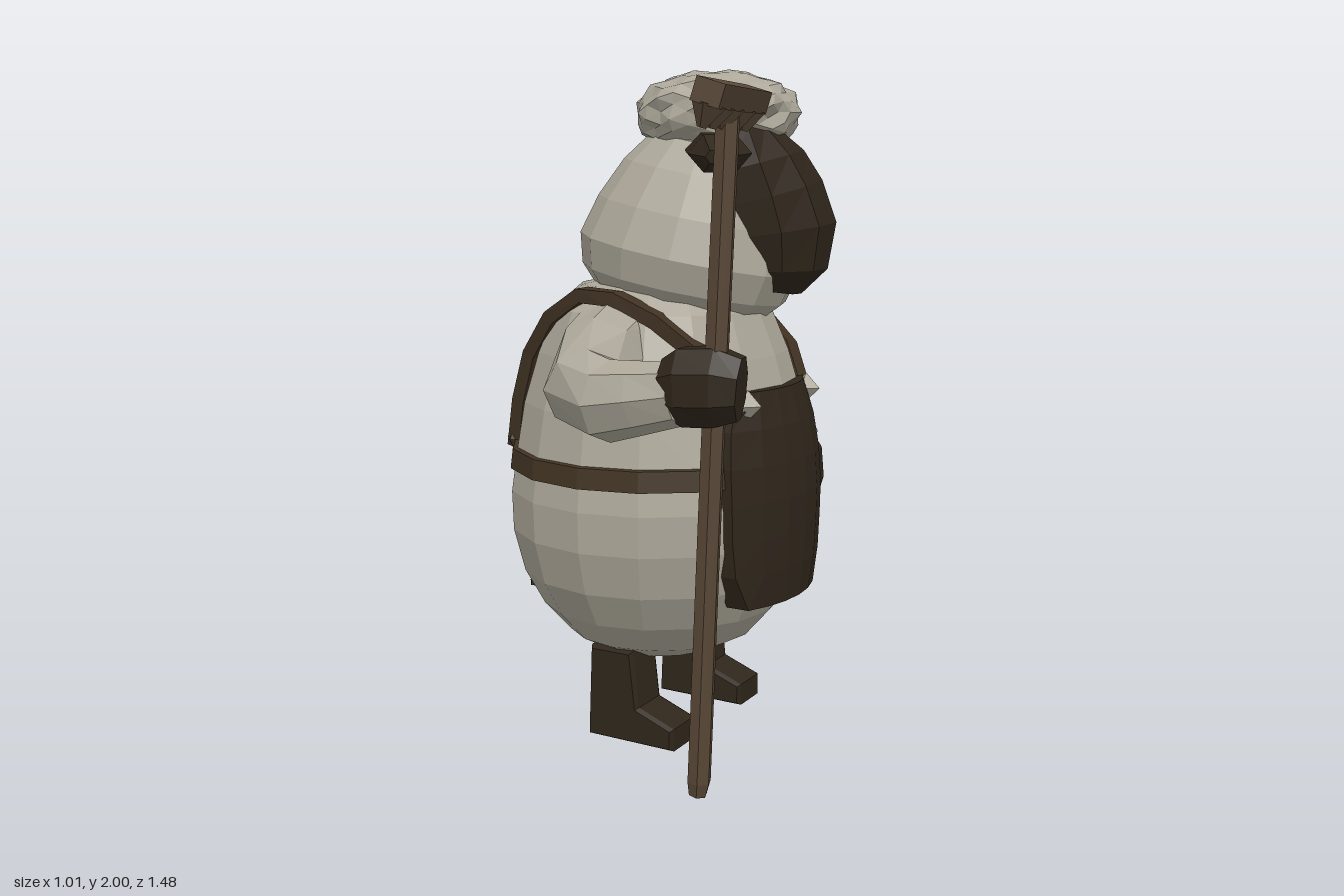
import * as THREE from 'three';

const mat = (color) => new THREE.MeshStandardMaterial({ color, flatShading: true });
const WOOL = mat(0xaca799), DARK = mat(0x2f261b), STRAP = mat(0x413323), WOOD = mat(0x584736);

function mesh(parent, name, geometry, material) {
  const m = new THREE.Mesh(geometry, material);
  m.name = name;
  parent.add(m);
  return m;
}

// Closed skin over rings [x, y, z, sideRadius, upRadius] along a path
function loft(rings, sides = 8, up = [0, 1, 0], turn = 0) {
  const c = rings.map((r) => new THREE.Vector3(r[0], r[1], r[2]));
  const pos = [], idx = [], n = rings.length;
  rings.forEach((r, i) => {
    const t = c[Math.min(i + 1, n - 1)].clone().sub(c[Math.max(i - 1, 0)]).normalize();
    const s = t.clone().cross(new THREE.Vector3(...up)).normalize();
    const u = s.clone().cross(t);
    for (let j = 0; j < sides; j++) {
      const a = (j / sides) * Math.PI * 2 + turn;
      const p = c[i].clone().addScaledVector(s, Math.cos(a) * r[3]).addScaledVector(u, Math.sin(a) * (r[4] ?? r[3]));
      pos.push(p.x, p.y, p.z);
    }
  });
  pos.push(...c[0].toArray(), ...c[n - 1].toArray());
  const first = n * sides, last = first + 1;
  for (let j = 0; j < sides; j++) {
    const k = (j + 1) % sides, e = (n - 1) * sides;
    for (let i = 0; i < n - 1; i++) {
      const a = i * sides + j, b = i * sides + k;
      idx.push(a, a + sides, b, b, a + sides, b + sides);
    }
    idx.push(first, j, k, last, e + k, e + j);
  }
  const g = new THREE.BufferGeometry();
  g.setAttribute('position', new THREE.Float32BufferAttribute(pos, 3));
  g.setIndex(idx);
  g.computeVertexNormals();
  return g;
}

const lathe = (profile, sides) => new THREE.LatheGeometry(profile.map(([r, y]) => new THREE.Vector2(r, y)), sides);

function buildTorso(root) {
  const torso = new THREE.Group();
  torso.name = 'torso';
  torso.position.set(-0.025, 0, -0.165);
  torso.rotation.y = -0.32;
  root.add(torso);

  // Barrel body, a little wider than deep
  mesh(torso, 'woolBody', lathe([[0, 0.28], [0.2, 0.25], [0.295, 0.3], [0.375, 0.39], [0.435, 0.5], [0.468, 0.63],
    [0.472, 0.75], [0.455, 0.87], [0.43, 1.02], [0.385, 1.17], [0.33, 1.3], [0.25, 1.37], [0, 1.42]], 16).scale(0.985, 1, 1.04), WOOL);

  mesh(torso, 'belt', lathe([[0.45, 0.815], [0.475, 0.82], [0.468, 0.88], [0.44, 0.885]], 16).scale(0.985, 1, 1.04), STRAP);

  // Apron: a slab wrapped round the belly
  const halfWidth = [0.225, 0.275, 0.288, 0.292, 0.288, 0.27, 0.225];
  const radius = [0.46, 0.472, 0.476, 0.478, 0.47, 0.452, 0.42];
  const apron = new THREE.BoxGeometry(0.06, 6, 2, 1, 6, 6);
  const p = apron.attributes.position;
  for (let i = 0; i < p.count; i++) {
    const row = Math.round(p.getY(i) + 3);
    const z = p.getZ(i) * halfWidth[row];
    const r = radius[row] + p.getX(i) - 0.02;
    p.setXYZ(i, Math.sqrt(r * r - z * z), 0.455 + row * 0.105, z);
  }
  apron.computeVertexNormals();
  mesh(torso, 'apron', apron, DARK);

  for (const s of [1, -1]) {
    // Shoulder strap with its knots
    const path = [[0.375, 1.03, 0.2], [0.3, 1.17, 0.25], [0.15, 1.29, 0.3], [0.02, 1.345, 0.31], [-0.1, 1.35, 0.295],
      [-0.22, 1.28, 0.27], [-0.32, 1.16, 0.235], [-0.38, 1.01, 0.21], [-0.415, 0.86, 0.19]];
    mesh(torso, 'shoulderStrap', loft(path.map(([x, y, z]) => [x, y, z * s, 0.03, 0.04]), 4, [0, 0, 1], Math.PI / 4), STRAP);
    const knot = mesh(torso, 'frontKnot', new THREE.OctahedronGeometry(0.045), WOOL);
    knot.position.set(0.39, 1.05, 0.2 * s);
    const clip = mesh(torso, 'backClip', new THREE.OctahedronGeometry(0.05), STRAP);
    clip.position.set(-0.415, 0.88, 0.19 * s);
    clip.scale.set(0.8, 1.4, 0.9);

    // Stubby leg and boot
    const boot = new THREE.Shape([[-0.09, 0.01], [0.19, 0.01], [0.19, 0.065], [0.07, 0.11], [0.05, 0.28], [-0.08, 0.28]]
      .map(([x, y]) => new THREE.Vector2(x, y)));
    const leg = mesh(torso, 'leg', new THREE.ExtrudeGeometry(boot, { depth: 0.12, bevelEnabled: true, bevelSegments: 1,
      bevelSize: 0.008, bevelThickness: 0.015 }), DARK);
    leg.position.set(0, 0, 0.22 * s - 0.06);
  }

  mesh(torso, 'tail', loft([[-0.4, 0.62, 0, 0.02], [-0.44, 0.5, 0, 0.025], [-0.455, 0.42, 0, 0.04], [-0.46, 0.355, 0, 0.05]],
    5, [0, 0, 1]), DARK);
}

function buildHead(root) {
  const head = new THREE.Group();
  head.name = 'head';
  root.add(head);

  // Woolly hood, leaning forward
  const hood = mesh(head, 'hood', lathe([[0, 1.28], [0.25, 1.3], [0.315, 1.37], [0.338, 1.46], [0.305, 1.58], [0.25, 1.7],
    [0.185, 1.79], [0, 1.86]].map(([r, y]) => [r, y - 1.45]), 14), WOOL);
  hood.position.set(0.055, 1.45, -0.17);
  hood.rotation.z = -0.2;

  // Long face, broad at the brow and jutting at the muzzle
  mesh(head, 'face', loft([[0.3, 1.362, -0.145, 0.12, 0.1], [0.31, 1.42, -0.145, 0.18, 0.165], [0.3, 1.53, -0.145, 0.215, 0.2],
    [0.28, 1.64, -0.14, 0.222, 0.18], [0.255, 1.73, -0.13, 0.218, 0.15], [0.235, 1.82, -0.13, 0.165, 0.08]], 10, [1, 0, 0], Math.PI / 10), DARK);

  // Ears, drooping to each side
  for (const [s, x] of [[1, 0.18], [-1, 0.24]])
    mesh(head, s > 0 ? 'rightEar' : 'leftEar', loft([[0, 1.76, 0.17, 0.05, 0.03], [0, 1.765, 0.25, 0.09, 0.055],
      [0.02, 1.755, 0.32, 0.09, 0.06], [0.02, 1.745, 0.405, 0.025, 0.02]].map(([dx, y, z, a, b]) => [x + dx, y, -0.155 + z * s, a, b]), 6), DARK);

  // Curly fleece cap: a flattened ball swelling round evenly spread curls
  const count = 44;
  const curls = Array.from({ length: count }, (_, i) => {
    const y = 1 - (2 * (i + 0.5)) / count, r = Math.sqrt(1 - y * y), a = i * 2.39996;
    return new THREE.Vector3(r * Math.cos(a), y, r * Math.sin(a));
  });
  const fleece = new THREE.IcosahedronGeometry(1, 4);
  const p = fleece.attributes.position, v = new THREE.Vector3();
  for (let i = 0; i < p.count; i++) {
    v.fromBufferAttribute(p, i);
    const d = Math.min(...curls.map((c) => c.distanceTo(v)));
    v.multiplyScalar(1.04 - 1.3 * d * d);
    p.setXYZ(i, v.x * 0.245, Math.sign(v.y) * Math.abs(v.y) ** 0.85 * 0.125, v.z * 0.235);
  }
  fleece.computeVertexNormals();
  mesh(head, 'fleeceCap', fleece, WOOL).position.set(0.14, 1.873, -0.165);
}

function buildArms(root) {
  // Right arm, bent forward to grip the rake
  mesh(root, 'rightArm', loft([[-0.1, 1.26, 0.0, 0.14, 0.11], [-0.13, 1.185, 0.2, 0.13, 0.13], [-0.145, 1.11, 0.32, 0.12, 0.13],
    [-0.06, 1.09, 0.39, 0.115, 0.115], [0.04, 1.11, 0.43, 0.1, 0.1], [0.15, 1.13, 0.475, 0.075, 0.085]], 8), WOOL);
  mesh(root, 'rightHand', loft([[0.12, 1.145, 0.46, 0.07, 0.085], [0.16, 1.15, 0.475, 0.09, 0.112], [0.25, 1.155, 0.485, 0.095, 0.112],
    [0.315, 1.15, 0.49, 0.07, 0.09]], 8, [0, 1, 0], Math.PI / 8), DARK);

  // Left arm, hanging forward
  mesh(root, 'leftArm', loft([[0.0, 1.27, -0.38, 0.11], [0.06, 1.18, -0.49, 0.145, 0.14], [0.14, 1.06, -0.575, 0.145, 0.14],
    [0.24, 0.93, -0.615, 0.125, 0.12], [0.33, 0.79, -0.635, 0.1, 0.095]], 8, [1, 0, 0]), WOOL);
  mesh(root, 'leftHand', loft([[0.32, 0.82, -0.64, 0.085, 0.065], [0.35, 0.76, -0.64, 0.1, 0.075], [0.365, 0.67, -0.65, 0.09, 0.065],
    [0.365, 0.61, -0.66, 0.07, 0.045]], 7, [1, 0, 0]), DARK);
  mesh(root, 'leftThumb', loft([[0.36, 0.74, -0.58, 0.035], [0.385, 0.68, -0.54, 0.035], [0.39, 0.645, -0.53, 0.02]], 5, [1, 0, 0]), DARK);
}

function buildRake(root) {
  const rake = new THREE.Group();
  rake.name = 'rake';
  root.add(rake);
  mesh(rake, 'rakeShaft', loft([[0.2, 0.01, 0.46, 0.026], [0.204, 0.05, 0.462, 0.034], [0.24, 1, 0.487, 0.033],
    [0.278, 1.88, 0.508, 0.033]], 6, [1, 0, 0]), WOOD);
  const top = new THREE.Group();
  top.name = 'rakeHead';
  top.position.set(0.29, 1.895, 0.51);
  top.rotation.set(0, -0.11, -0.3);
  rake.add(top);
  mesh(top, 'rakeBar', new THREE.BoxGeometry(0.075, 0.06, 0.46), WOOD);
  for (const z of [-0.195, -0.1, 0.02, 0.11, 0.195]) {
    const tooth = mesh(top, 'rakeTooth', new THREE.CylinderGeometry(0.045, 0.012, 0.06, 4), WOOD);
    tooth.position.set(0, -0.055, z);
  }
}

export function createModel() {
  const root = new THREE.Group();
  root.name = 'sheepFarmer';
  buildTorso(root);
  buildHead(root);
  buildArms(root);
  buildRake(root);
  return root;
}
